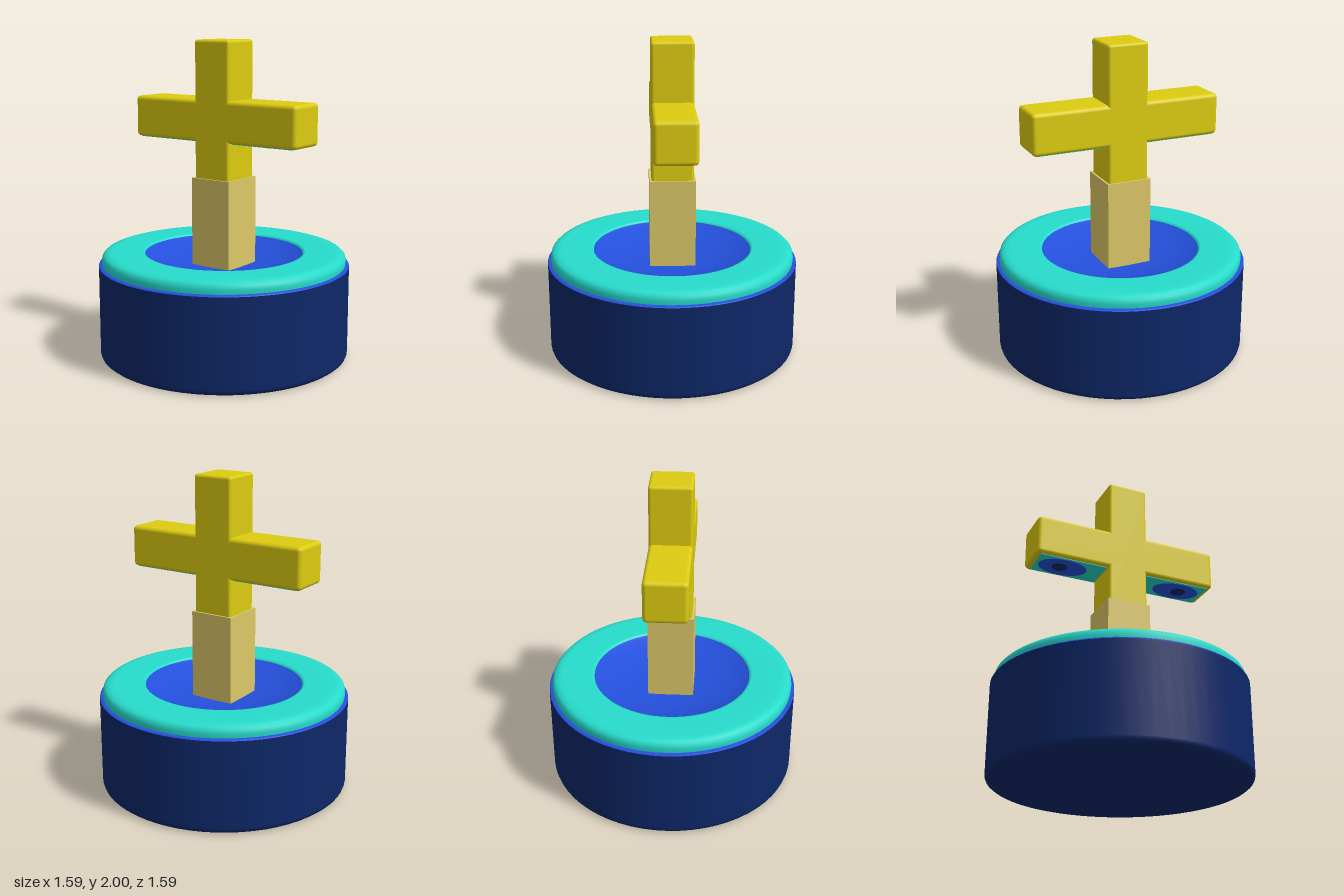
import * as THREE from 'three';
import { RoundedBoxGeometry } from 'three/addons/geometries/RoundedBoxGeometry.js';

const paint = (name, color) => {
  const m = new THREE.MeshStandardMaterial({ color });
  m.name = name;
  return m;
};

export function createModel() {
  const navy = paint('navy', 0x0d2768);
  const blue = paint('blue', 0x2450dd);
  const turquoise = paint('turquoise', 0x26dccb);
  const yellow = paint('yellow', 0xddcc10);
  const tan = paint('tan', 0xdcc868);

  const model = new THREE.Group();
  const add = (parent, name, geometry, material, x = 0, y = 0, z = 0) => {
    const mesh = new THREE.Mesh(geometry, material);
    mesh.name = name;
    mesh.position.set(x, y, z);
    parent.add(mesh);
    return mesh;
  };
  // Turned part from a list of [radius, height] points
  const lathe = (points) =>
    new THREE.LatheGeometry(points.map(([r, y]) => new THREE.Vector2(r, y)), 64);

  // Round base: dark drum, bright rim, raised ring and sunken dish
  add(model, 'drum', lathe([[0, 0], [0.76, 0], [0.775, 0.003], [0.79, 0.015],
    [0.795, 0.03], [0.795, 0.04], [0.795, 0.58], [0.795, 0.592]]), navy);
  add(model, 'drumRim', lathe([[0.795, 0.592], [0.79, 0.6], [0.73, 0.602]]), blue);
  add(model, 'ring', lathe([[0.772, 0.595], [0.775, 0.625], [0.77, 0.65], [0.755, 0.665],
    [0.73, 0.673], [0.7, 0.675], [0.52, 0.672], [0.505, 0.668], [0.5, 0.655]]), turquoise);
  add(model, 'dish', lathe([[0.502, 0.66], [0.48, 0.648], [0.4, 0.622], [0.3, 0.6],
    [0.2, 0.588], [0, 0.58]]), blue);

  // Post and cross, turned together about the vertical axis
  const cross = new THREE.Group();
  cross.name = 'cross';
  cross.rotation.y = -1.107;
  model.add(cross);
  add(cross, 'post', new THREE.BoxGeometry(0.287, 0.57, 0.287), tan, 0, 0.86, 0);
  add(cross, 'upright', new RoundedBoxGeometry(0.262, 0.88, 0.262, 3, 0.018), yellow, 0, 1.56, 0);
  add(cross, 'crossbar', new RoundedBoxGeometry(1.225, 0.26, 0.262, 3, 0.025), yellow, 0, 1.505, 0);

  // Painted undersides of both arms
  for (const side of [-1, 1]) {
    add(cross, 'armUnderside', new THREE.BoxGeometry(0.44, 0.004, 0.22), turquoise, side * 0.36, 1.374, 0);
    const patch = add(cross, 'undersidePatch', new THREE.CylinderGeometry(0.1, 0.1, 0.004, 24), blue,
      side * 0.4, 1.372, 0);
    patch.scale.x = 1.6;
    add(cross, 'undersideSpot', new THREE.CylinderGeometry(0.05, 0.05, 0.004, 20), navy,
      side * 0.42, 1.37, 0);
  }
  return model;
}
